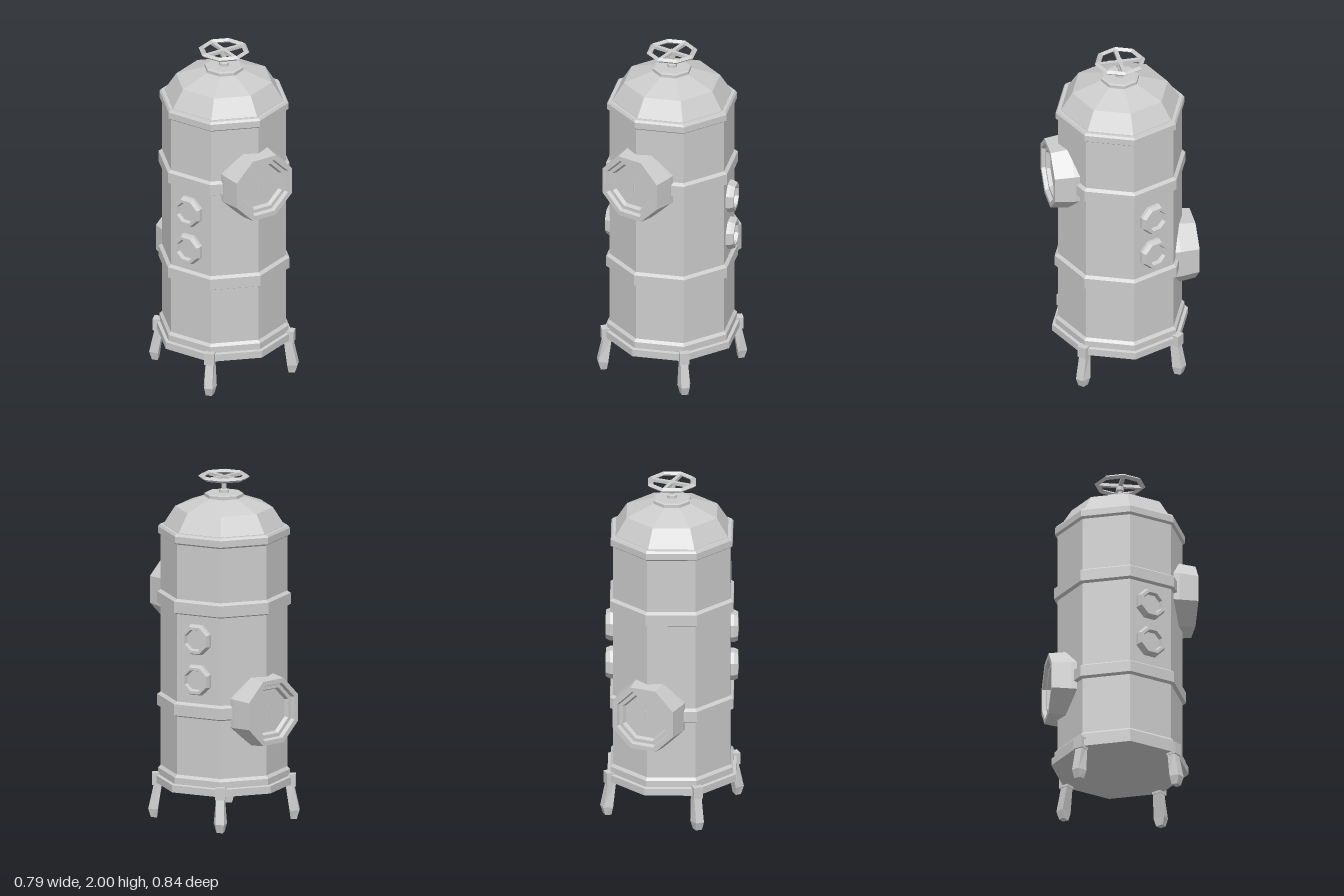
import * as THREE from 'three';

const material = new THREE.MeshStandardMaterial({ color: 0xcccccc, flatShading: true });

function add(parent, name, geometry) {
  const mesh = new THREE.Mesh(geometry, material);
  mesh.name = name;
  parent.add(mesh);
  return mesh;
}

// Eight-sided turned part from [radius, height] pairs, outside going upwards
function turned(profile, phase = 0, sides = 8) {
  return new THREE.LatheGeometry(profile.map(([r, y]) => new THREE.Vector2(r, y)), sides, phase);
}

// Octagonal porthole facing +z: sizes are across-flats half widths
function porthole(name, profile) {
  const k = 1 / Math.cos(Math.PI / 8);
  const geometry = turned(profile.map(([a, z]) => [a * k, z]), Math.PI / 8);
  geometry.rotateX(Math.PI / 2);
  const mesh = new THREE.Mesh(geometry, material);
  mesh.name = name;
  return mesh;
}

// Leg with local z pointing outwards: flares to a knee, then tapers to the foot
function legGeometry() {
  const geometry = new THREE.BoxGeometry(1, 1, 1, 1, 2, 1);
  const sections = [ // y, inner radius, outer radius, inner half width, outer half width
    [0, 0.38, 0.415, 0.024, 0.018],
    [0.05, 0.375, 0.43, 0.038, 0.024],
    [0.21, 0.35, 0.395, 0.024, 0.022],
  ];
  const p = geometry.attributes.position;
  for (let i = 0; i < p.count; i++) {
    const [y, rIn, rOut, wIn, wOut] = sections[Math.round((p.getY(i) + 0.5) * 2)];
    const outer = p.getZ(i) > 0;
    p.setXYZ(i, Math.sign(p.getX(i)) * (outer ? wOut : wIn), y, outer ? rOut : rIn);
  }
  geometry.computeVertexNormals();
  return geometry;
}

export function createModel() {
  const model = new THREE.Group();
  model.name = 'boilerTank';

  // Tank shell and domed lid
  add(model, 'body', turned([[0, 0.21], [0.36, 0.21], [0.36, 1.69]]));
  add(model, 'dome', turned([[0.345, 1.69], [0.345, 1.705], [0.278, 1.81], [0.115, 1.87], [0, 1.87]]));
  add(model, 'domeCap', turned([[0.112, 1.865], [0.112, 1.888], [0.1, 1.893], [0, 1.893]]));

  // Base flange and hoops
  add(model, 'baseFlange', turned([[0, 0.204], [0.395, 0.204], [0.395, 0.246], [0.376, 0.25],
    [0.376, 0.287], [0.358, 0.305]]));
  for (const y of [0.685, 1.282]) {
    add(model, 'hoop', turned([[0.355, y - 0.047], [0.38, y - 0.035], [0.38, y + 0.03], [0.355, y + 0.047]]));
  }
  add(model, 'topRim', turned([[0.355, 1.638], [0.375, 1.652], [0.375, 1.69], [0.366, 1.703], [0.335, 1.703]]));

  // Large portholes, front upper and back lower
  const large = [[0.2, 0.2], [0.2, 0.31], [0.187, 0.422], [0.16, 0.422], [0.152, 0.4],
    [0.132, 0.4], [0.122, 0.378], [0, 0.378]];
  const front = porthole('frontPorthole', large);
  front.position.y = 1.285;
  const back = porthole('backPorthole', large);
  back.position.y = 0.683;
  back.rotation.y = Math.PI;
  model.add(front, back);

  // Small paired portholes on two opposite side facets
  const small = [[0.086, 0.31], [0.086, 0.352], [0.076, 0.376], [0.06, 0.376], [0.053, 0.352], [0, 0.352]];
  for (const angle of [Math.PI * 5 / 8, -Math.PI * 3 / 8]) {
    for (const y of [0.868, 1.103]) {
      const port = porthole('sidePorthole', small);
      port.position.set(-0.008 * Math.cos(angle), y, 0.008 * Math.sin(angle));
      port.rotation.y = angle;
      model.add(port);
    }
  }

  // Four corner legs with brackets
  for (let i = 0; i < 4; i++) {
    const leg = new THREE.Group();
    leg.name = 'leg';
    add(leg, 'legShaft', legGeometry());
    add(leg, 'legBracket', new THREE.BoxGeometry(0.056, 0.07, 0.06)).position.set(0, 0.224, 0.379);
    leg.rotation.y = Math.PI / 4 + i * Math.PI / 2;
    model.add(leg);
  }

  // Valve wheel on its stem
  const wheel = new THREE.Group();
  wheel.name = 'valveWheel';
  add(wheel, 'wheelStem', turned([[0.03, 1.89], [0.028, 1.91], [0.013, 1.915], [0.013, 1.945],
    [0.022, 1.952], [0.022, 1.992], [0, 1.992]]));
  add(wheel, 'wheelRim', turned([[0.13, 1.972], [0.147, 1.986], [0.13, 2], [0.114, 1.986], [0.13, 1.972]]));
  for (const turn of [0, Math.PI / 2]) {
    const spoke = add(wheel, 'wheelSpoke', new THREE.BoxGeometry(0.25, 0.018, 0.022));
    spoke.position.y = 1.982;
    spoke.rotation.y = turn;
  }
  model.add(wheel);
  return model;
}
